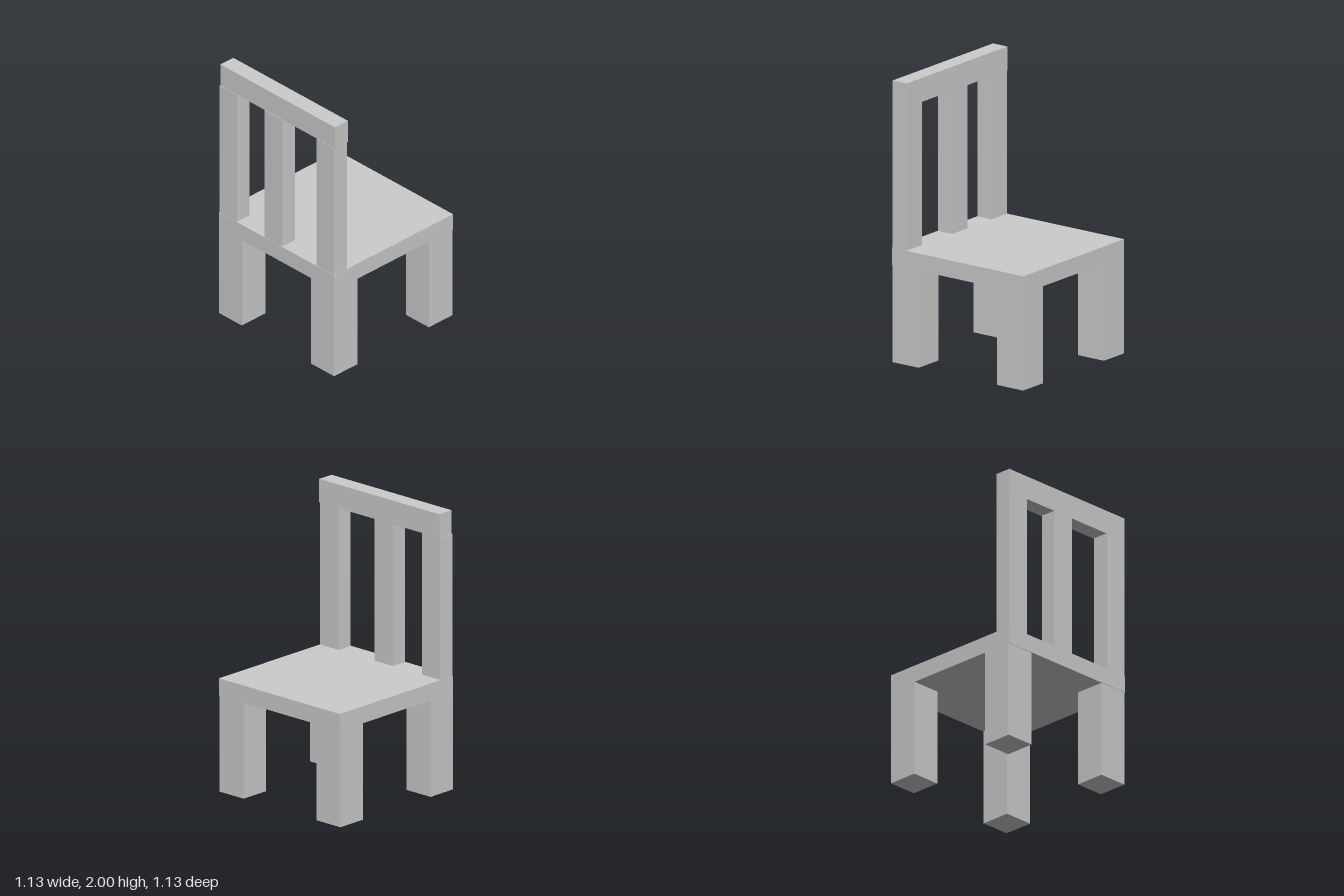
import * as THREE from 'three';

export function createModel() {
  const chair = new THREE.Group();
  chair.name = 'chair';
  const material = new THREE.MeshStandardMaterial({ color: 0xcccccc, flatShading: true });

  // Box given by its extents along each axis
  function block(name, [x0, x1], [y0, y1], [z0, z1]) {
    const mesh = new THREE.Mesh(new THREE.BoxGeometry(x1 - x0, y1 - y0, z1 - z0), material);
    mesh.position.set((x0 + x1) / 2, (y0 + y1) / 2, (z0 + z1) / 2);
    mesh.name = name;
    chair.add(mesh);
  }

  // Seat slab
  block('seat', [-0.563, 0.563], [0.69, 0.812], [-0.563, 0.563]);

  // Four square legs
  const legX = { right: [-0.566, -0.343], left: [0.336, 0.559] };
  const legZ = { Front: [0.337, 0.56], Back: [-0.56, -0.337] };
  for (const side in legX) {
    for (const end in legZ) block(`${side}${end}Leg`, legX[side], [0, 0.69], legZ[end]);
  }

  // Three upright slats standing on the seat edge
  const slats = { rightSlat: -0.475, middleSlat: -0.034, leftSlat: 0.474 };
  for (const name in slats) {
    block(name, [slats[name] - 0.086, slats[name] + 0.086], [0.812, 1.83], [0.44, 0.56]);
  }

  // Top rail, slightly offset from the slats
  block('topRail', [-0.556, 0.563], [1.83, 2], [0.434, 0.556]);

  return chair;
}
